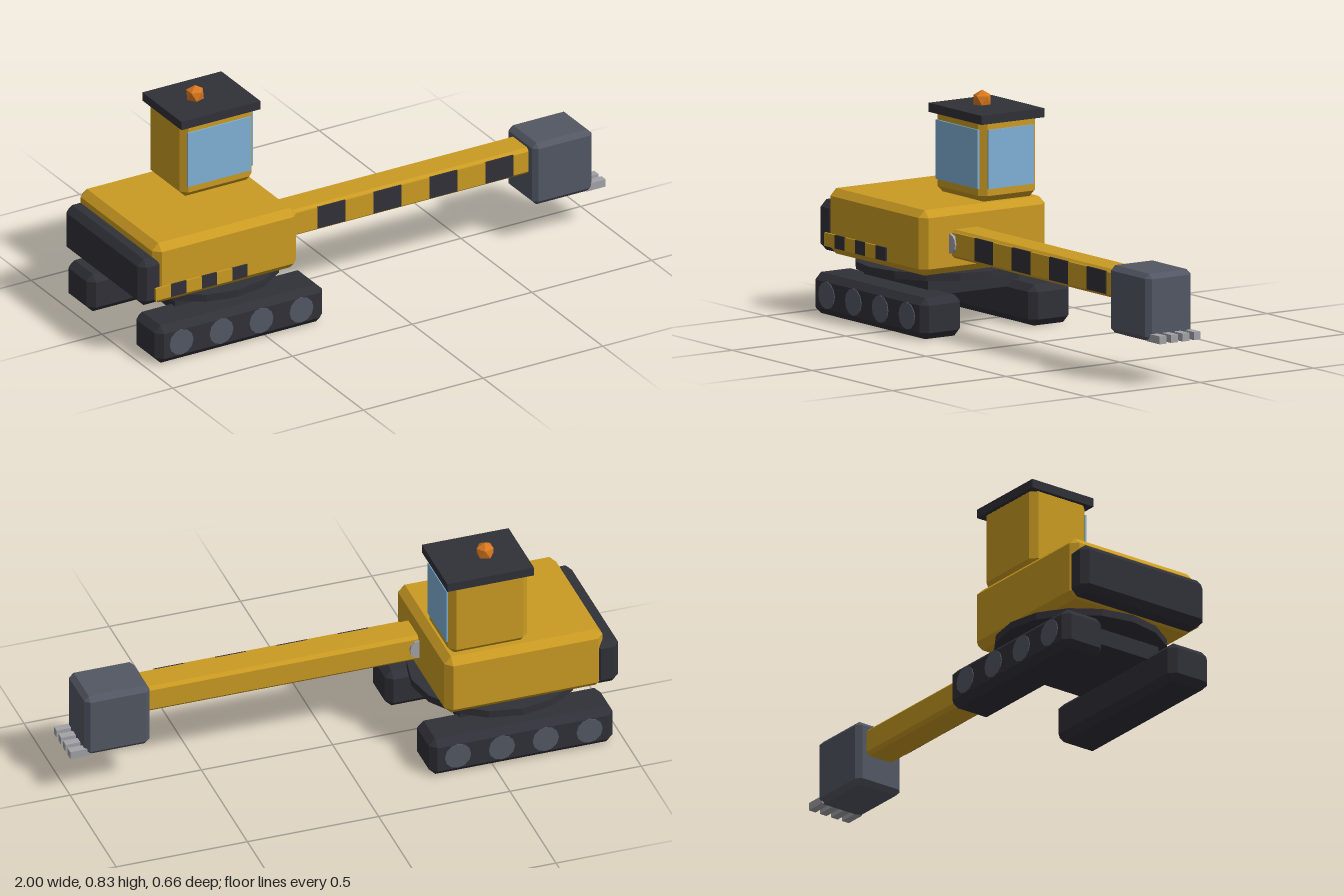
import * as THREE from 'three';
import { ConvexGeometry } from 'three/addons/geometries/ConvexGeometry.js';

const material = (name, color) => {
  const m = new THREE.MeshStandardMaterial({ color });
  m.name = name;
  return m;
};

// Box given by its min and max corners
function boxGeometry(min, max) {
  const size = max.map((v, i) => v - min[i]);
  return new THREE.BoxGeometry(...size).translate(...min.map((v, i) => v + size[i] / 2));
}

// Box with every edge cut by a flat bevel c
function bevelBoxGeometry(min, max, c) {
  const points = [];
  for (let corner = 0; corner < 8; corner++) {
    for (let axis = 0; axis < 3; axis++) {
      const p = [0, 1, 2].map((i) => {
        const inset = i === axis ? 0 : c;
        return (corner >> i) & 1 ? max[i] - inset : min[i] + inset;
      });
      points.push(new THREE.Vector3(...p));
    }
  }
  return new ConvexGeometry(points);
}

export function createModel() {
  const yellow = material('yellow paint', 0xcb9b22);
  const dark = material('dark rubber', 0x303038);
  const steel = material('grey steel', 0x525763);
  const silver = material('bright metal', 0xa2a2a8);
  const glass = material('window glass', 0x80b0d6);
  const orange = material('beacon orange', 0xd87820);

  const model = new THREE.Group();
  model.name = 'excavator';
  const add = (name, geometry, mat) => {
    const mesh = new THREE.Mesh(geometry, mat);
    mesh.name = name;
    model.add(mesh);
    return mesh;
  };

  // Row of alternating yellow and dark warning plates
  const stripes = (name, x, width, count, y0, y1, z0, z1) => {
    for (let i = 0; i < count; i++) {
      const x0 = x + i * width;
      add(name, boxGeometry([x0, y0, z0], [x0 + width, y1, z1]), i % 2 ? dark : yellow);
    }
  };

  // Tracks with wheels on their outer sides
  for (const side of [1, -1]) {
    const z = side * 0.239;
    add('track', bevelBoxGeometry([-0.96, 0, z - 0.089], [-0.26, 0.15, z + 0.089], 0.025), dark);
    for (let i = 0; i < 4; i++) {
      const wheel = new THREE.CylinderGeometry(0.05, 0.05, 0.02, 12).toNonIndexed();
      wheel.computeVertexNormals();
      wheel.rotateX(Math.PI / 2).translate(-0.863 + i * 0.167, 0.077, side * 0.321);
      add('wheel', wheel, steel);
    }
  }

  // Undercarriage and turntable
  add('undercarriage', boxGeometry([-0.813, 0.127, -0.2], [-0.413, 0.195, 0.2]), dark);
  const disc = new THREE.CylinderGeometry(0.314, 0.314, 0.028, 16).toNonIndexed();
  disc.computeVertexNormals();
  add('turntable', disc.translate(-0.614, 0.202, 0), dark);

  // Body with counterweight
  add('body', bevelBoxGeometry([-0.94, 0.215, -0.277], [-0.337, 0.454, 0.277], 0.026), yellow);
  add('counterweight', bevelBoxGeometry([-1, 0.22, -0.276], [-0.9, 0.405, 0.276], 0.025), dark);
  stripes('bodyStripe', -0.943, 0.064, 6, 0.242, 0.291, 0.276, 0.284);

  // Cab
  add('cab', bevelBoxGeometry([-0.662, 0.453, -0.25], [-0.36, 0.765, 0], 0.024), yellow);
  add('frontWindow', boxGeometry([-0.643, 0.503, -0.002], [-0.38, 0.719, 0.006]), glass);
  add('sideWindow', boxGeometry([-0.362, 0.503, -0.225], [-0.354, 0.719, -0.024]), glass);
  add('roof', boxGeometry([-0.675, 0.743, -0.263], [-0.345, 0.776, 0.013]), dark);

  // Beacon, standing on one of its points
  const beacon = new THREE.IcosahedronGeometry(0.036, 0);
  beacon.rotateX(-Math.atan((1 + Math.sqrt(5)) / 2)).rotateY(Math.PI / 2);
  add('beacon', beacon.translate(-0.537, 0.794, -0.125), orange);

  // Boom and its pivot pin
  add('boom', bevelBoxGeometry([-0.4, 0.272, 0.026], [0.72, 0.376, 0.149], 0.012), yellow);
  stripes('boomStripe', -0.307, 0.1169, 8, 0.284, 0.368, 0.147, 0.154);
  const pin = new THREE.CylinderGeometry(0.036, 0.036, 0.145, 12).toNonIndexed();
  pin.computeVertexNormals();
  add('pivotPin', pin.rotateX(Math.PI / 2).translate(-0.337, 0.326, 0.088), silver);

  // Bucket with teeth
  add('bucket', bevelBoxGeometry([0.695, 0.157, -0.011], [0.944, 0.404, 0.189], 0.018), steel);
  for (let i = 0; i < 4; i++) {
    const z = 0.012 + i * 0.05;
    add('tooth', boxGeometry([0.92, 0.157, z - 0.015], [1, 0.186, z + 0.015]), silver);
  }

  return model;
}
